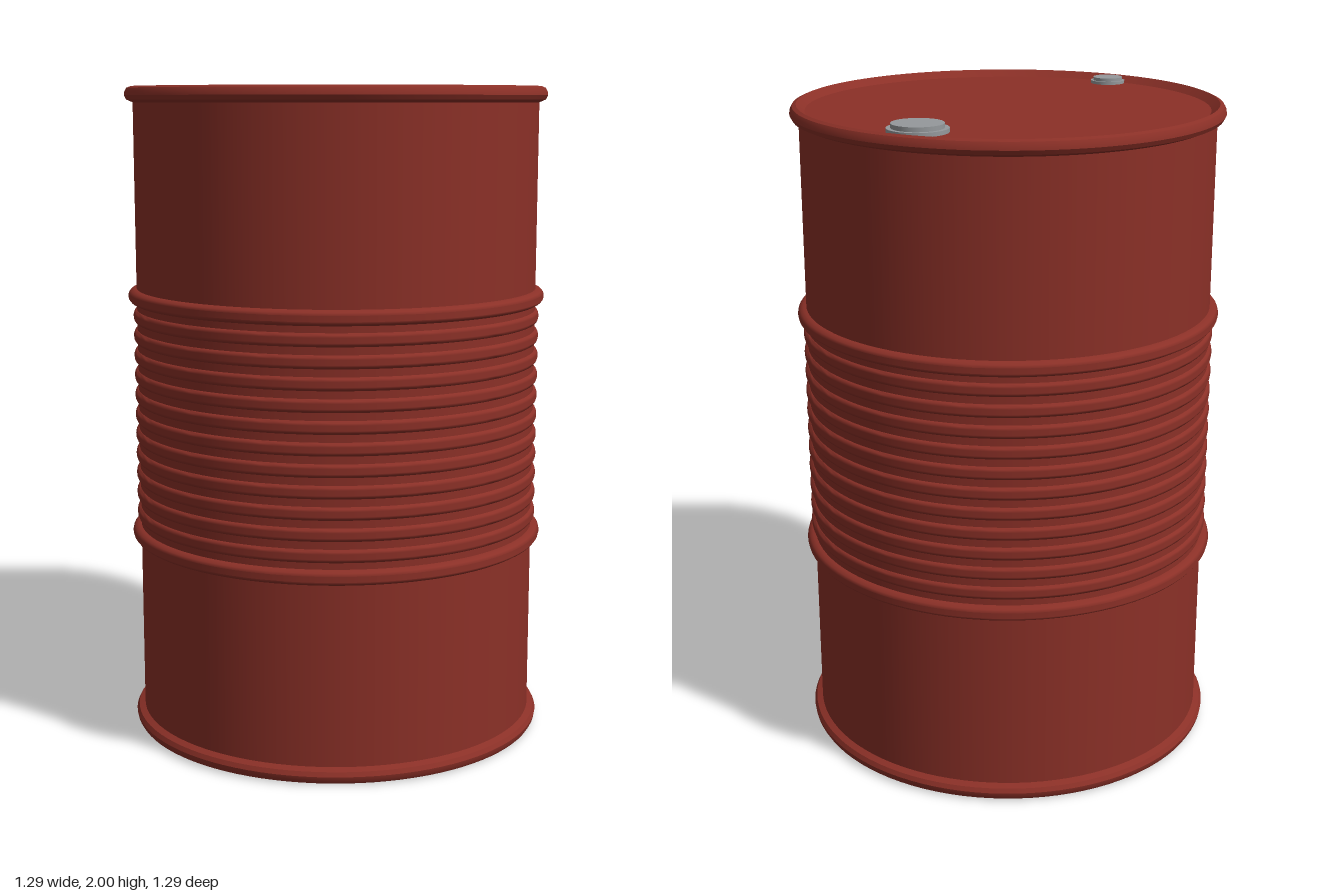
import * as THREE from 'three';
import { toCreasedNormals } from 'three/addons/utils/BufferGeometryUtils.js';

const SEGMENTS = 96;
const WALL = 0.619;

export function createModel() {
  const drum = new THREE.Group();
  drum.name = 'drum';
  const red = new THREE.MeshStandardMaterial({ color: 0x8b3027, side: THREE.DoubleSide });
  red.name = 'rust red paint';
  const grey = new THREE.MeshStandardMaterial({ color: 0x95999c });
  grey.name = 'grey metal';

  function add(name, geometry, material, x = 0, y = 0, z = 0) {
    const mesh = new THREE.Mesh(geometry, material);
    mesh.name = name;
    mesh.position.set(x, y, z);
    drum.add(mesh);
    return mesh;
  }
  const lathe = (points, crease = 0.5) => toCreasedNormals(
    new THREE.LatheGeometry(points.map(([r, y]) => new THREE.Vector2(r, y)), SEGMENTS), crease);

  // Rounded band standing out from the wall
  function band(name, y, halfHeight, depth) {
    const points = [];
    for (let i = 0; i <= 8; i++) {
      const a = -Math.PI / 2 + (Math.PI * i) / 8;
      points.push([WALL - 0.001 + depth * Math.cos(a), halfHeight * Math.sin(a)]);
    }
    add(name, lathe(points, 0.9), red, 0, y);
  }

  // Outer wall and smooth lining, open at the bottom
  add('wall', new THREE.CylinderGeometry(WALL, WALL, 1.92, SEGMENTS, 1, true), red, 0, 1);
  add('lining', new THREE.CylinderGeometry(0.6, 0.6, 1.955, SEGMENTS, 1, true), red, 0, 0.9975);

  // Rims, the bottom one mirrored from the top one
  const rim = [[WALL, 1.947], [0.638, 1.955], [0.645, 1.968], [0.643, 1.98],
    [0.637, 1.99], [0.625, 1.995], [0.6, 1.975]];
  add('topRim', lathe(rim), red);
  add('bottomRim', lathe(rim.map(([r, y]) => [r, 1.995 - y]).reverse()), red);

  // Lid
  const lid = new THREE.CircleGeometry(0.602, SEGMENTS).rotateX(-Math.PI / 2);
  add('lid', lid, red, 0, 1.975);

  // Rolling hoops with fine ribs between them
  for (let i = -6; i <= 6; i++) {
    const hoop = Math.abs(i) === 6;
    band(hoop ? 'hoop' : 'rib', 0.99 + i * 0.0619, hoop ? 0.023 : 0.02, hoop ? 0.027 : 0.012);
  }

  // Bungs: a flange with a raised plug
  function bung(name, x, z, flangeRadius, plugRadius, top) {
    const middle = (1.97 + top) / 2 + 0.002;
    add(name + 'Flange', new THREE.CylinderGeometry(flangeRadius, flangeRadius, middle - 1.97, 40),
      grey, x, (1.97 + middle) / 2, z);
    add(name + 'Plug', new THREE.CylinderGeometry(plugRadius, plugRadius, top - 1.97, 40),
      grey, x, (1.97 + top) / 2, z);
  }
  bung('largeBung', 0.315, -0.359, 0.088, 0.075, 2);
  bung('smallBung', -0.4, 0.411, 0.054, 0.046, 1.994);

  return drum;
}
